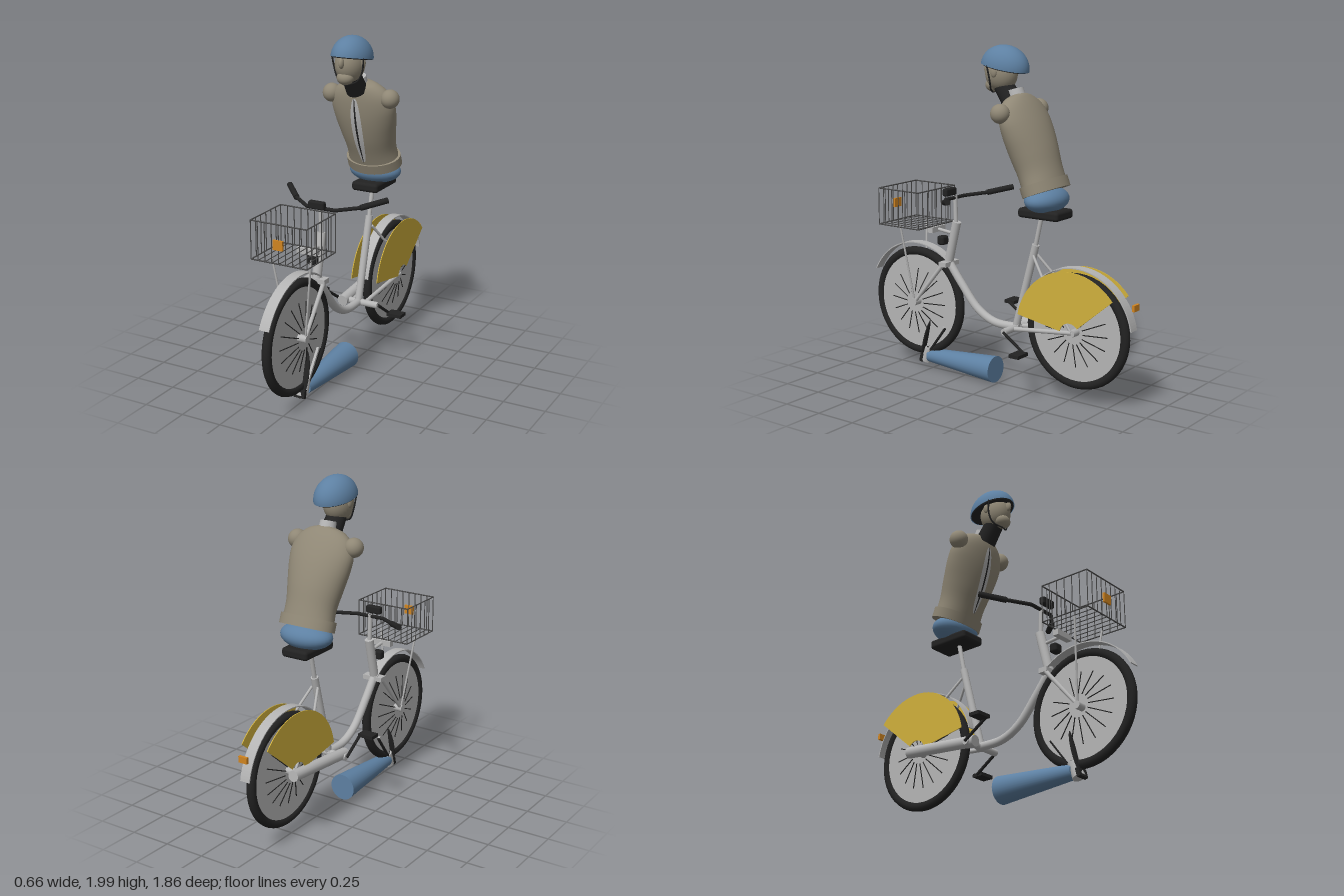
import * as THREE from 'three';
import { RoundedBoxGeometry } from 'three/addons/geometries/RoundedBoxGeometry.js';

const mat = (name, color, side = THREE.FrontSide) => {
  const m = new THREE.MeshStandardMaterial({ color, side });
  m.name = name;
  return m;
};
const V = (x, y, z) => new THREE.Vector3(x, y, z);

const silver = mat('silver', 0xb4b4b4, THREE.DoubleSide);
const black = mat('black', 0x222222, THREE.DoubleSide);
const wire = mat('wireGrey', 0x4a4a4a);
const yellow = mat('yellow', 0xd0b03c, THREE.DoubleSide);
const orange = mat('orange', 0xd08420);
const blue = mat('blue', 0x5d80a2, THREE.DoubleSide);
const beige = mat('beige', 0x8f8775, THREE.DoubleSide);

function add(parent, name, geometry, material, pos = V(0, 0, 0)) {
  const m = new THREE.Mesh(geometry, material);
  m.name = name;
  m.position.copy(pos);
  parent.add(m);
  return m;
}

// Straight round bar from a to b, optionally tapered
function bar(parent, name, a, b, r, material, rEnd = r, sides = 16) {
  const d = b.clone().sub(a);
  const m = add(parent, name, new THREE.CylinderGeometry(rEnd, r, d.length(), sides), material,
    a.clone().add(b).multiplyScalar(0.5));
  m.quaternion.setFromUnitVectors(V(0, 1, 0), d.normalize());
  return m;
}

const box = (parent, name, w, h, d, material, pos) =>
  add(parent, name, new THREE.BoxGeometry(w, h, d), material, pos);

function ball(parent, name, rx, ry, rz, material, pos) {
  const m = add(parent, name, new THREE.SphereGeometry(1, 32, 20), material, pos);
  m.scale.set(rx, ry, rz);
  return m;
}

// Arc plate in the wheel plane; 0 degrees points forward, 90 up
function arcPlate(parent, name, r0, r1, from, to, width, material, pos) {
  const a = THREE.MathUtils.degToRad(from), b = THREE.MathUtils.degToRad(to);
  const s = new THREE.Shape();
  s.absarc(0, 0, r1, a, b, false);
  s.absarc(0, 0, r0, b, a, true);
  const g = new THREE.ExtrudeGeometry(s, { depth: width, bevelEnabled: false, curveSegments: 32 });
  g.translate(0, 0, -width / 2).rotateY(-Math.PI / 2);
  return add(parent, name, g, material, pos);
}

function wheel(parent, name, z) {
  const g = new THREE.Group();
  g.name = name;
  g.position.set(0, 0.42, z);
  parent.add(g);
  add(g, 'tyre', new THREE.TorusGeometry(0.309, 0.027, 12, 48).rotateY(Math.PI / 2), black);
  add(g, 'wheelDisc', new THREE.CylinderGeometry(0.292, 0.292, 0.03, 48).rotateZ(Math.PI / 2), silver);
  bar(g, 'hub', V(-0.07, 0, 0), V(0.07, 0, 0), 0.022, silver);
  for (let i = 0; i < 16; i++) {
    const a = i * Math.PI / 8, c = Math.cos(a), s = Math.sin(a);
    for (const x of [-1, 1])
      bar(g, 'spoke', V(x * 0.05, s * 0.065, c * 0.065), V(x * 0.016, s * 0.205, c * 0.205), 0.003, black, 0.003, 6);
  }
}

function buildBicycle(bike) {
  wheel(bike, 'frontWheel', 0.595);
  wheel(bike, 'rearWheel', -0.55);
  const front = V(0, 0.42, 0.595), rear = V(0, 0.42, -0.55);
  arcPlate(bike, 'frontFender', 0.363, 0.369, 26, 131, 0.062, silver, front);
  arcPlate(bike, 'rearFender', 0.363, 0.369, 12, 170, 0.062, silver, rear);

  // Frame
  const path = [[0.69, 0.365], [0.57, 0.27], [0.437, 0.15], [0.378, 0.03], [0.373, -0.15]]
    .map(([y, z]) => V(0, y, z));
  add(bike, 'downTube', new THREE.TubeGeometry(new THREE.CatmullRomCurve3(path), 32, 0.024, 16), silver);
  bar(bike, 'headTube', V(0, 0.67, 0.375), V(0, 0.945, 0.307), 0.027, silver);
  bar(bike, 'handlebarStem', V(0, 0.93, 0.313), V(0, 1.1, 0.318), 0.013, silver);
  bar(bike, 'seatTube', V(0, 0.378, -0.127), V(0, 0.88, -0.262), 0.022, silver);
  bar(bike, 'seatPost', V(0, 0.87, -0.26), V(0, 1.06, -0.302), 0.013, silver);
  box(bike, 'forkCrown', 0.13, 0.028, 0.055, silver, V(0, 0.685, 0.37));
  for (const s of [-1, 1]) {
    bar(bike, 'forkBlade', V(s * 0.05, 0.69, 0.37), V(s * 0.055, 0.42, 0.595), 0.013, silver, 0.01);
    bar(bike, 'seatStay', V(s * 0.02, 0.82, -0.258), V(s * 0.06, 0.7, -0.355), 0.008, silver);
    bar(bike, 'lowerSeatStay', V(s * 0.06, 0.7, -0.355), V(s * 0.065, 0.42, -0.55), 0.008, silver);
    bar(bike, 'chainStay', V(s * 0.04, 0.37, -0.12), V(s * 0.065, 0.425, -0.55), 0.013, silver);
    arcPlate(bike, 'skirtGuard', 0.065, 0.357, 10, 140, 0.005, yellow, V(s * 0.086, 0.42, -0.55));
  }
  bar(bike, 'shaftDriveCase', V(-0.09, 0.42, -0.6), V(-0.09, 0.375, -0.09), 0.033, silver);

  // Cranks and pedals
  bar(bike, 'crankAxle', V(-0.13, 0.372, -0.13), V(0.13, 0.372, -0.13), 0.02, silver);
  for (const [s, y, z] of [[-1, 0.47, 0.02], [1, 0.275, -0.27]]) {
    bar(bike, 'crankArm', V(s * 0.133, 0.372, -0.13), V(s * 0.133, y, z), 0.009, black);
    box(bike, 'pedal', 0.095, 0.02, 0.068, black, V(s * 0.182, y, z));
  }

  // Saddle
  add(bike, 'saddle', new RoundedBoxGeometry(0.17, 0.055, 0.27, 4, 0.018), black, V(0, 1.072, -0.325));

  // Handlebar, bell and lamp
  const bend = [[-0.205, 1.1, 0.235], [-0.09, 1.09, 0.318], [0.09, 1.09, 0.318], [0.205, 1.1, 0.235]]
    .map((p) => V(...p));
  const bars = new THREE.CurvePath();
  for (let i = 0; i < 3; i++) bars.add(new THREE.LineCurve3(bend[i], bend[i + 1]));
  add(bike, 'handlebar', new THREE.TubeGeometry(bars, 48, 0.011, 12), black);
  for (const s of [-1, 1])
    bar(bike, 'grip', V(s * 0.205, 1.1, 0.235), V(s * 0.318, 1.13, 0.123), 0.017, black);
  add(bike, 'handlebarConsole', new RoundedBoxGeometry(0.1, 0.046, 0.036, 3, 0.01), black, V(0, 1.12, 0.36));
  add(bike, 'frontLamp', new RoundedBoxGeometry(0.06, 0.055, 0.05, 3, 0.014), black, V(0, 0.82, 0.415));

  // Rear reflector
  box(bike, 'rearReflector', 0.055, 0.036, 0.016, orange, V(0, 0.617, -0.92));
}

function buildBasket(basket) {
  const x = 0.173, y0 = 0.905, y1 = 1.125, z0 = 0.46, z1 = 0.766;
  const rod = (a, b, r = 0.0028) => bar(basket, 'basketWire', a, b, r, wire, r, 6);
  for (const y of [y0, y1]) {
    for (const z of [z0, z1]) rod(V(-x, y, z), V(x, y, z), 0.004);
    for (const s of [-x, x]) rod(V(s, y, z0), V(s, y, z1), 0.004);
  }
  // Upright wires and floor
  for (let i = 0; i <= 8; i++) {
    const px = -x + i * x / 4;
    for (const z of [z0, z1]) rod(V(px, y0, z), V(px, y1, z));
    rod(V(px, y0, z0), V(px, y0, z1));
  }
  for (let i = 1; i < 6; i++) {
    const z = z0 + (z1 - z0) * i / 6;
    for (const s of [-x, x]) rod(V(s, y0, z), V(s, y1, z));
  }
  for (const s of [-1, 1])
    bar(basket, 'basketStrut', V(s * 0.125, 0.905, 0.642), V(s * 0.058, 0.43, 0.595), 0.006, silver);
  box(basket, 'basketBracket', 0.124, 0.034, 0.036, silver, V(0, 0.885, 0.463));
  bar(basket, 'basketSupport', V(0, 0.885, 0.463), V(0, 0.87, 0.326), 0.01, silver);
  box(basket, 'frontReflector', 0.06, 0.055, 0.012, orange, V(0, 1.012, 0.77));
}

function buildRider(rider) {
  // Jacket: elliptical sections, (half width, half depth, height 0 to 1)
  const torso = new THREE.Group();
  torso.name = 'torso';
  torso.position.set(0, 1.2, -0.33);
  torso.rotation.x = 0.373;
  rider.add(torso);
  const length = 0.56;
  const profile = new THREE.CatmullRomCurve3([
    V(0.16, 0.112, 0), V(0.152, 0.116, 0.2), V(0.17, 0.122, 0.4), V(0.192, 0.116, 0.6),
    V(0.197, 0.102, 0.75), V(0.172, 0.082, 0.88), V(0.11, 0.06, 0.97), V(0.055, 0.045, 1)]);
  const body = new THREE.CylinderGeometry(1, 1, 1, 40, 28);
  const p = body.attributes.position;
  for (let i = 0; i < p.count; i++) {
    const c = profile.getPoint(p.getY(i) + 0.5);
    p.setXYZ(i, p.getX(i) * c.x, c.z * length, p.getZ(i) * c.y);
  }
  body.computeVertexNormals();
  add(torso, 'jacket', body, beige);
  const hem = add(torso, 'jacketHem', new THREE.CylinderGeometry(1, 1, 0.06, 40), beige, V(0, 0.022, 0));
  hem.scale.set(0.17, 1, 0.122);

  // Zip and its facing, following the chest
  for (const [name, material, half, lift] of [['zipFacing', silver, 0.033, 0.005], ['zip', black, 0.006, 0.009]]) {
    const g = new THREE.PlaneGeometry(2, 1, 4, 24), q = g.attributes.position;
    for (let i = 0; i < q.count; i++) {
      const t = q.getY(i) + 0.5;
      const c = profile.getPoint(0.1 + 0.62 * t);
      const x = q.getX(i) * half * Math.sqrt(Math.sin(Math.PI * (0.02 + 0.96 * t)));
      q.setXYZ(i, x, c.z * length, c.y * Math.sqrt(1 - (x / c.x) ** 2) + lift);
    }
    g.computeVertexNormals();
    add(torso, name, g, material);
  }
  ball(rider, 'hips', 0.163, 0.075, 0.108, blue, V(0, 1.15, -0.335));
  for (const s of [-1, 1]) ball(rider, 'shoulder', 0.054, 0.055, 0.056, beige, V(s * 0.188, 1.635, -0.148));

  // Neck and collar
  bar(rider, 'neck', V(0, 1.68, -0.1), V(0, 1.79, -0.02), 0.062, black, 0.055, 24);
  bar(rider, 'collar', V(0, 1.69, -0.136), V(0, 1.755, -0.116), 0.052, silver, 0.046, 24);

  // Head
  const head = ball(rider, 'head', 0.082, 0.105, 0.098, beige, V(0, 1.84, -0.02));
  head.rotation.x = 0.1;
  ball(rider, 'chin', 0.05, 0.04, 0.045, beige, V(0, 1.772, 0.035));
  ball(rider, 'nose', 0.015, 0.03, 0.022, beige, V(0, 1.86, 0.078));
  for (const s of [-1, 1]) {
    ball(rider, 'ear', 0.012, 0.03, 0.02, beige, V(s * 0.081, 1.85, -0.025));
    const strap = [V(s * 0.1, 1.89, 0.01), V(s * 0.088, 1.81, 0), V(s * 0.06, 1.752, 0.01), V(0, 1.73, 0.04)];
    add(rider, 'chinStrap', new THREE.TubeGeometry(new THREE.CatmullRomCurve3(strap), 20, 0.005, 8), black);
  }

  // Helmet
  const helmet = new THREE.Group();
  helmet.name = 'helmet';
  helmet.position.set(0, 1.873, -0.045);
  helmet.rotation.x = -0.18;
  helmet.scale.set(0.112, 0.126, 0.15);
  rider.add(helmet);
  add(helmet, 'helmetShell', new THREE.SphereGeometry(1, 40, 16, 0, Math.PI * 2, 0, Math.PI / 2), blue);
  add(helmet, 'helmetLiner', new THREE.CylinderGeometry(0.97, 0.94, 0.06, 40), black, V(0, -0.01, 0));
}

function buildLeg(leg) {
  bar(leg, 'trouserLeg', V(0, 0.083, 0.52), V(0, 0.085, 0.022), 0.042, blue, 0.08, 32);
  // Shoe: upright sole, upper and tongue meeting at the heel
  const sole = ball(leg, 'shoeSole', 0.046, 0.145, 0.012, black, V(0, 0.178, 0.54));
  sole.rotation.x = -0.25;
  box(leg, 'shoeHeel', 0.07, 0.05, 0.022, black, V(0, 0.065, 0.566)).rotation.x = -0.25;
  bar(leg, 'shoeUpper', V(0, 0.045, 0.55), V(0, 0.13, 0.515), 0.036, silver);
  const tongue = new THREE.Group();
  tongue.name = 'shoeTongue';
  tongue.position.set(0, 0.2, 0.45);
  tongue.rotation.x = -0.64;
  leg.add(tongue);
  box(tongue, 'tongueFace', 0.06, 0.2, 0.014, silver, V(0, 0, 0.007));
  box(tongue, 'tongueBack', 0.062, 0.2, 0.01, black, V(0, 0, -0.005));
}

export function createModel() {
  const model = new THREE.Group();
  model.name = 'cyclistOnBicycle';
  for (const [name, build] of [['bicycle', buildBicycle], ['basket', buildBasket], ['rider', buildRider], ['lowerLeg', buildLeg]]) {
    const g = new THREE.Group();
    g.name = name;
    build(g);
    model.add(g);
  }
  return model;
}
